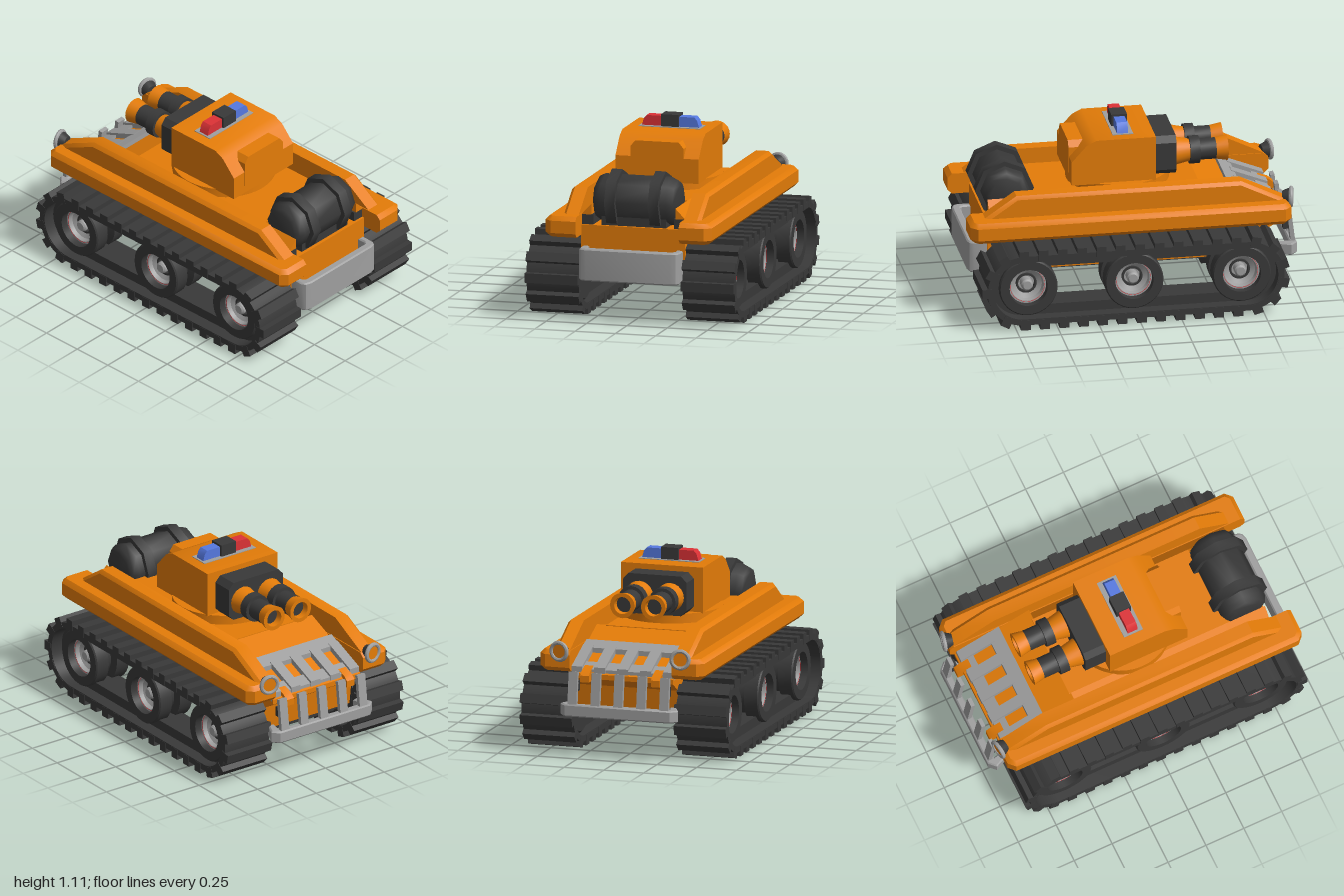
import * as THREE from 'three';
import { toCreasedNormals } from 'three/addons/utils/BufferGeometryUtils.js';

const mat = (name, color) => Object.assign(new THREE.MeshStandardMaterial({ color }), { name });

export function createModel() {
  const orange = mat('orange paint', 0xe47c08);
  const black = mat('black rubber', 0x393939);
  const grey = mat('grey metal', 0x9f9f9f);
  const red = mat('red lamp', 0xdd3236);
  const blue = mat('blue lamp', 0x5679e0);
  const model = new THREE.Group();
  model.name = 'armouredVehicle';

  const add = (name, geo, material, parent = model, crease = 0.6) => {
    const mesh = new THREE.Mesh(toCreasedNormals(geo, crease), material);
    mesh.name = name;
    parent.add(mesh);
    return mesh;
  };
  const shape = (pts) => new THREE.Shape(pts.map(([x, y]) => new THREE.Vector2(x, y)));
  // side profile (x, y) spanning z0..z1, bevelled inwards
  const extrude = (s, z0, z1, b = 0) => new THREE.ExtrudeGeometry(s, {
    depth: z1 - z0 - 2 * b, bevelEnabled: b > 0, bevelSize: b, bevelThickness: b,
    bevelOffset: -b, bevelSegments: 1, curveSegments: 16,
  }).translate(0, 0, z0 + b);
  // plan outline (x, z) spanning y0..y1
  const plan = (pts, y0, y1, b = 0) => extrude(shape(pts), 0, y1 - y0, b).rotateX(Math.PI / 2).translate(0, y1, 0);
  // section given as (-z, y) spanning x0..x1
  const across = (pts, x0, x1) => extrude(shape(pts), x0, x1).rotateY(Math.PI / 2);
  const box = (x0, x1, y0, y1, z0, z1) => new THREE.BoxGeometry(x1 - x0, y1 - y0, z1 - z0)
    .translate((x0 + x1) / 2, (y0 + y1) / 2, (z0 + z1) / 2);
  const lathe = (pts, n = 32) => new THREE.LatheGeometry(pts.map(([r, y]) => new THREE.Vector2(r, y)), n);
  // square off the inner side of a bevelled part at |z| = inner
  const squareInner = (geo, s, inner) => {
    const p = geo.attributes.position;
    for (let i = 0; i < p.count; i++) p.setZ(i, s * Math.max(s * p.getZ(i), inner));
    return geo;
  };

  // hull with raised, side-sloped deck
  add('hull', extrude(shape([[-0.8, 0.265], [-0.82, 0.42], [-0.91, 0.475], [-0.91, 0.505], [-0.42, 0.7], [-0.42, 0.637],
    [0.6, 0.637], [0.6, 0.575], [0.87, 0.575], [0.87, 0.265]]), -0.322, 0.322), orange);
  add('raisedDeck', across([[-0.322, 0.63], [0.322, 0.63], [0.322, 0.638], [0.26, 0.7], [-0.26, 0.7], [-0.322, 0.638]],
    -0.43, 0.6), orange);
  add('bellyPlate', box(-0.8, 0.86, 0.255, 0.267, -0.31, 0.31), black);
  add('underBlock', across([[-0.3, 0.265], [-0.265, 0.2], [0.265, 0.2], [0.3, 0.265]], -0.72, -0.43), black);

  const cy = 0.254, xa = -0.65, xb = 0.705, R = 0.22, straight = xb - xa;
  const stadium = (path, r) => {
    path.absarc(xb, cy, r, -Math.PI / 2, Math.PI / 2);
    path.absarc(xa, cy, r, Math.PI / 2, Math.PI * 1.5);
    path.closePath();
    return path;
  };
  const loop = (rOut, rIn) => {
    const s = stadium(new THREE.Shape(), rOut);
    s.holes.push(stadium(new THREE.Path(), rIn));
    return s;
  };
  // point and direction at distance d round the track
  const trackPoint = (d) => {
    const arc = Math.PI * R;
    if (d < straight) return [xa + d, cy - R, 0];
    d -= straight;
    if (d < arc) { const a = d / R; return [xb + R * Math.sin(a), cy - R * Math.cos(a), a]; }
    d -= arc;
    if (d < straight) return [xb - d, cy + R, Math.PI];
    const a = Math.PI + (d - straight) / R;
    return [xa + R * Math.sin(a), cy - R * Math.cos(a), a];
  };

  for (const s of [1, -1]) {
    const span = (a, b) => (s > 0 ? [a, b] : [-b, -a]);
    const side = new THREE.Group();
    side.name = s > 0 ? 'leftRunningGear' : 'rightRunningGear';
    model.add(side);

    // thin track band, inner guide ridge and cleats
    add('trackBand', extrude(loop(R, 0.182), ...span(0.322, 0.645)), black, side);
    add('trackGuide', extrude(loop(0.19, 0.122), ...span(0.4, 0.57)), black, side);
    const count = 35, total = 2 * straight + 2 * Math.PI * R;
    for (let i = 0; i < count; i++) {
      const [x, y, a] = trackPoint((i + 0.5) * total / count);
      add('trackCleat', new THREE.BoxGeometry(0.058, 0.064, 0.327).rotateZ(a)
        .translate(x, y, s * 0.4835), black, side);
    }

    // road wheels: grooved tyre, recessed rim with a thin red line, hub
    for (const x of [-0.62, 0.03, 0.67]) {
      const place = (g) => g.rotateX(s * Math.PI / 2).translate(x, cy, 0);
      add('tyre', place(lathe([[0, 0.35], [0.165, 0.35], [0.177, 0.36], [0.177, 0.45], [0.13, 0.46], [0.13, 0.5],
        [0.177, 0.51], [0.177, 0.592], [0.17, 0.6], [0.115, 0.6], [0.112, 0.49]])), black, side);
      add('rim', place(lathe([[0.114, 0.555], [0.1, 0.555], [0.092, 0.53], [0.065, 0.515], [0.06, 0.495], [0, 0.495]])), grey, side);
      add('rimLine', place(lathe([[0.1055, 0.553], [0.1055, 0.5565], [0.1035, 0.5565], [0.1035, 0.553]])), red, side);
      add('rimGroove', place(lathe([[0.062, 0.49], [0.062, 0.521], [0.05, 0.521], [0.05, 0.49]])), black, side);
      add('hub', place(lathe([[0.036, 0.485], [0.036, 0.55], [0.026, 0.56], [0, 0.56]], 16)), grey, side);
    }

    // fender with raised shoulder, bevelled on the outside only
    const fb = 0.026, sb = 0.02, zi = 0.32 - fb;
    const fenderPlan = [[-0.94, s * zi], [-0.94, s * 0.475], [-0.9, s * 0.516],
      [0.96, s * 0.516], [1, s * 0.475], [1, s * zi]];
    add('fender', squareInner(plan(fenderPlan, 0.513, 0.64, fb), s, 0.32), orange);
    add('fenderShoulder', squareInner(extrude(shape([[-0.935, 0.6], [-0.915, 0.64], [-0.65, 0.77], [0.71, 0.77], [0.9, 0.64],
      [0.9, 0.6]]), ...span(0.326 - sb, 0.425), sb), s, 0.326), orange);
    // sloped rail beside the canister
    add('deckRail', across([[-s * 0.322, 0.636], [-s * 0.26, 0.636], [-s * 0.26, 0.7]], 0.59, 0.86), orange);
    add('deckEdge', box(0.5, 0.855, 0.575, 0.637, ...span(0.25, 0.327)), black);

    // headlamp, fog lamp and tow lug
    const lamp = new THREE.Group();
    lamp.name = 'headlamp';
    lamp.position.set(-0.955, 0.64, s * 0.38);
    lamp.rotation.y = s * 0.2;
    model.add(lamp);
    add('lampRing', new THREE.TorusGeometry(0.052, 0.013, 8, 20).rotateY(Math.PI / 2), grey, lamp);
    add('lampFace', new THREE.CylinderGeometry(0.05, 0.05, 0.008, 20).rotateZ(Math.PI / 2), orange, lamp);
    add('lampBack', new THREE.CylinderGeometry(0.056, 0.035, 0.05, 16).rotateZ(Math.PI / 2).translate(0.028, 0, 0), black, lamp);
    add('fogLamp', box(-0.955, -0.92, 0.405, 0.465, ...span(0.26, 0.31)), black);
    add('towLug', extrude(shape([[-0.95, 0.46], [-0.95, 0.5], [-0.92, 0.525], [-0.83, 0.555], [-0.83, 0.46]]),
      ...span(0.195, 0.25)), orange);
  }

  // nose grille following the slope, and front guard
  const slopeY = (x) => 0.7 + (x + 0.42) * 0.398;
  const slopeBar = (x0, x1, t) => shape([[x0, slopeY(x0) - 0.02], [x1, slopeY(x1) - 0.02],
    [x1, slopeY(x1) + t], [x0, slopeY(x0) + t]]);
  add('grilleUpperBar', extrude(slopeBar(-0.7, -0.62, 0.03), -0.32, 0.32), grey);
  add('grilleLowerBar', extrude(slopeBar(-0.895, -0.82, 0.02), -0.32, 0.32), grey);
  for (let i = -2; i <= 2; i++) {
    const z = i * 0.144;
    add('grilleBar', extrude(slopeBar(-0.9, -0.68, 0.035), z - 0.034, z + 0.034), grey);
    add('guardBar', extrude(shape([[-0.997, 0.29], [-0.97, 0.29], [-0.942, 0.52], [-0.967, 0.525]]), z - 0.028, z + 0.028), grey);
  }
  const frontC = [[-0.87, -0.33], [-0.96, -0.37], [-1, -0.33], [-1, 0.33], [-0.96, 0.37], [-0.87, 0.33],
    [-0.88, 0.29], [-0.95, 0.31], [-0.955, -0.31], [-0.88, -0.29]];
  add('frontBumper', plan(frontC, 0.255, 0.33, 0.008), grey);

  // rear bumper, a bent plate
  const rearC = [[0.87, -0.31], [0.95, -0.31], [0.975, -0.295], [0.985, -0.26], [0.985, 0.26], [0.975, 0.295],
    [0.95, 0.31], [0.87, 0.31], [0.87, 0.27], [0.92, 0.27], [0.935, 0.255], [0.935, -0.255], [0.92, -0.27], [0.87, -0.27]];
  add('rearBumper', plan(rearC, 0.255, 0.45, 0.008), grey);

  // rear canister with straps
  const canister = (pts) => lathe(pts, 8).rotateX(Math.PI / 2).translate(0.74, 0.72, 0);
  add('canister', canister([[0, -0.257], [0.1, -0.257], [0.13, -0.243], [0.148, -0.205], [0.148, 0.205],
    [0.13, 0.243], [0.1, 0.257], [0, 0.257]]), black, model, 1);
  for (const z of [-0.135, 0.135]) {
    add('canisterStrap', canister([[0.135, z - 0.032], [0.178, z - 0.032], [0.178, z + 0.032], [0.135, z + 0.032]]), black, model, 1);
  }
  add('canisterCradle', box(0.64, 0.85, 0.57, 0.63, -0.2, 0.2), black);

  // turret
  add('turretRing', new THREE.CylinderGeometry(0.31, 0.31, 0.065, 40).translate(0.03, 0.725, 0), orange);
  add('turret', extrude(shape([[-0.16, 0.752], [0.35, 0.752], [0.35, 0.9], [0.26, 1.0], [0.2, 1.03], [-0.16, 1.03]]),
    -0.258, 0.258), orange);
  add('turretHousing', across([[-0.165, 0.8], [0.165, 0.8], [0.165, 0.96], [0.135, 0.997],
    [-0.135, 0.997], [-0.165, 0.96]], 0.25, 0.353), orange);
  add('gunMantle', across([[-0.165, 0.755], [0.165, 0.755], [0.2, 0.79], [0.2, 0.96], [0.165, 0.997],
    [-0.165, 0.997], [-0.2, 0.96], [-0.2, 0.79]], -0.295, -0.15), black);

  // twin guns
  for (const z of [-0.097, 0.097]) {
    const gun = (name, pts, m) => add(name, lathe(pts, 20).rotateZ(Math.PI / 2).translate(0, 0.868, z), m);
    gun('gunBase', [[0.088, 0.285], [0.066, 0.39], [0, 0.39]], orange);
    gun('gunBarrel', [[0.064, 0.37], [0.064, 0.385], [0.084, 0.385], [0.084, 0.445], [0.064, 0.445], [0.064, 0.555]], black);
    gun('gunMuzzle', [[0.064, 0.545], [0.077, 0.615], [0.052, 0.615], [0.048, 0.57]], orange);
    gun('gunBore', [[0.055, 0.575], [0, 0.575]], black);
  }

  // beacon bar
  add('beaconBase', box(-0.035, 0.09, 1.02, 1.034, -0.19, 0.19), grey);
  add('beaconCentre', across([[-0.054, 1.03], [0.054, 1.03], [0.054, 1.107], [-0.054, 1.107]], -0.02, 0.075), black);
  for (const [s, m, name] of [[1, red, 'redBeacon'], [-1, blue, 'blueBeacon']]) {
    add(name, across([[-s * 0.05, 1.03], [-s * 0.178, 1.03], [-s * 0.165, 1.075],
      [-s * 0.148, 1.094], [-s * 0.05, 1.094]], -0.005, 0.061), m);
  }
  return model;
}
